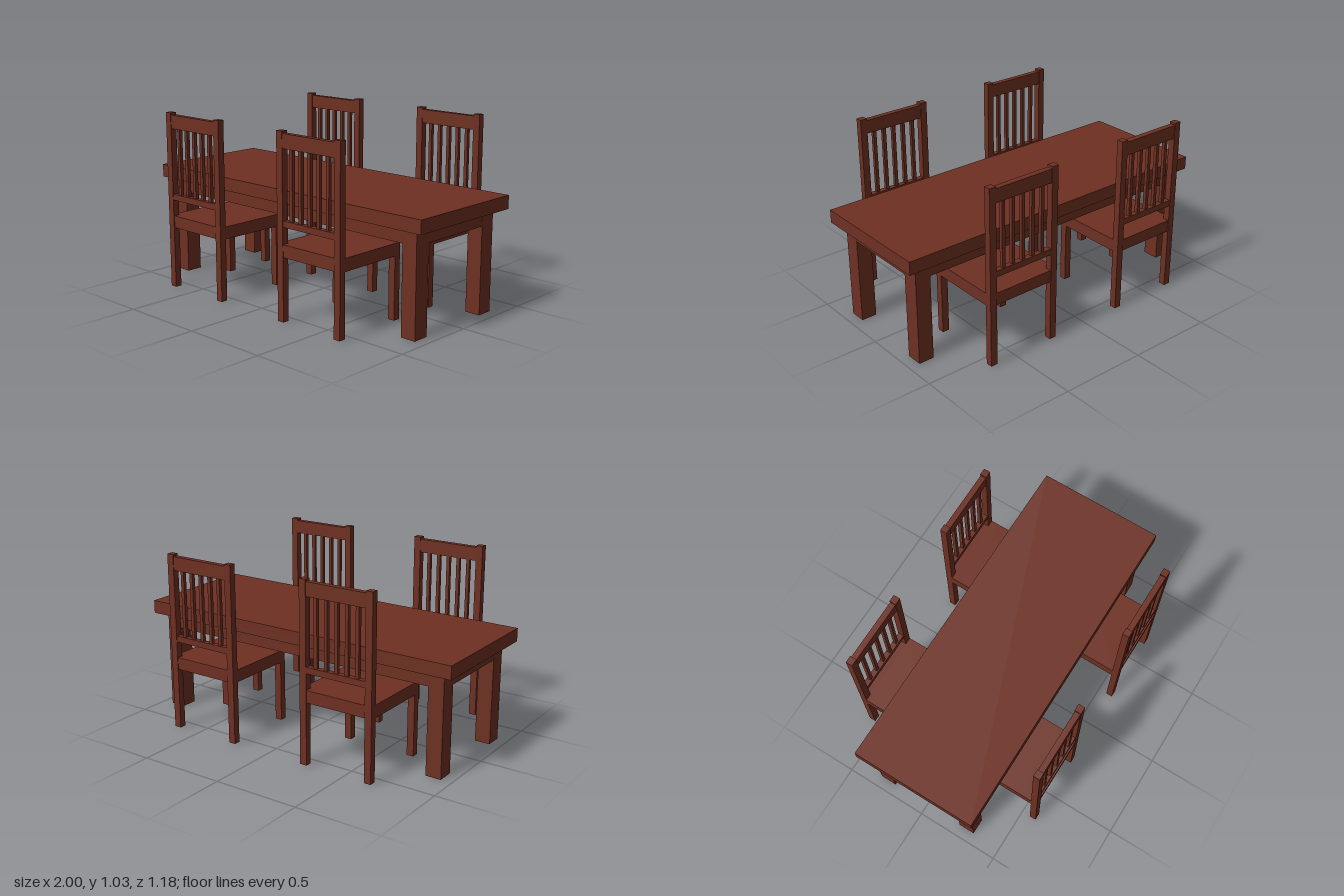
import * as THREE from 'three';

const wood = new THREE.MeshStandardMaterial({ color: 0x6e3022 });

// Box given by its lower and upper limits on each axis
function box(parent, name, [x0, x1], [y0, y1], [z0, z1]) {
  const mesh = new THREE.Mesh(new THREE.BoxGeometry(x1 - x0, y1 - y0, z1 - z0), wood);
  mesh.position.set((x0 + x1) / 2, (y0 + y1) / 2, (z0 + z1) / 2);
  mesh.name = name;
  parent.add(mesh);
}

// Limits mirrored to the negative side when s is -1
const side = (s, a, b) => (s > 0 ? [a, b] : [-b, -a]);

function createTable() {
  const table = new THREE.Group();
  table.name = 'table';
  box(table, 'tableTop', [-1, 1], [0.578, 0.654], [-0.373, 0.373]);
  for (const s of [1, -1]) {
    for (const t of [1, -1]) {
      box(table, 'tableLeg', side(s, 0.845, 0.936), [0, 0.578], side(t, 0.228, 0.324));
    }
    // Apron rails between the legs, leaving the underside hollow
    box(table, 'longApron', [-0.845, 0.845], [0.497, 0.578], side(s, 0.289, 0.323));
    box(table, 'endApron', side(s, 0.9, 0.935), [0.497, 0.578], [-0.228, 0.228]);
  }
  return table;
}

// Chair whose backrest stands on +z and whose seat points to -z
function createChair() {
  const chair = new THREE.Group();
  chair.name = 'chair';
  const w = 0.223, inner = 0.182, back = 0.591, front = 0.126;
  for (const s of [1, -1]) {
    box(chair, 'backPost', side(s, inner, w), [0.005, 1.03], [0.552, back]);
    box(chair, 'frontLeg', side(s, inner, w), [0.005, 0.396], [front, 0.166]);
    box(chair, 'sideRail', side(s, inner + 0.005, w), [0.361, 0.396], [0.166, 0.552]);
  }
  // Seat board over a frame of rails
  box(chair, 'seat', [-w, w], [0.396, 0.432], [front, 0.552]);
  box(chair, 'seatBackEdge', [-inner, inner], [0.396, 0.432], [0.552, 0.588]);
  box(chair, 'frontRail', [-inner, inner], [0.361, 0.396], [front + 0.003, 0.16]);
  box(chair, 'backRail', [-inner, inner], [0.361, 0.396], [0.555, 0.585]);
  // Backrest rails and slats
  box(chair, 'topRail', [-inner, inner], [0.94, 1.018], [0.555, 0.588]);
  box(chair, 'lowerRail', [-inner, inner], [0.525, 0.56], [0.555, 0.588]);
  const count = 5, slat = 0.02, pitch = (2 * inner + slat) / (count + 1);
  for (let i = 0; i < count; i++) {
    const x = (i - (count - 1) / 2) * pitch;
    box(chair, 'backSlat', [x - slat / 2, x + slat / 2], [0.56, 0.94], [0.562, 0.582]);
  }
  return chair;
}

export function createModel() {
  const model = new THREE.Group();
  model.name = 'diningSet';
  model.add(createTable());
  // Two chairs along each long side, facing the table
  for (const x of [-0.453, 0.444]) {
    for (const turn of [0, Math.PI]) {
      const chair = createChair();
      chair.position.x = x;
      chair.rotation.y = turn;
      model.add(chair);
    }
  }
  return model;
}
